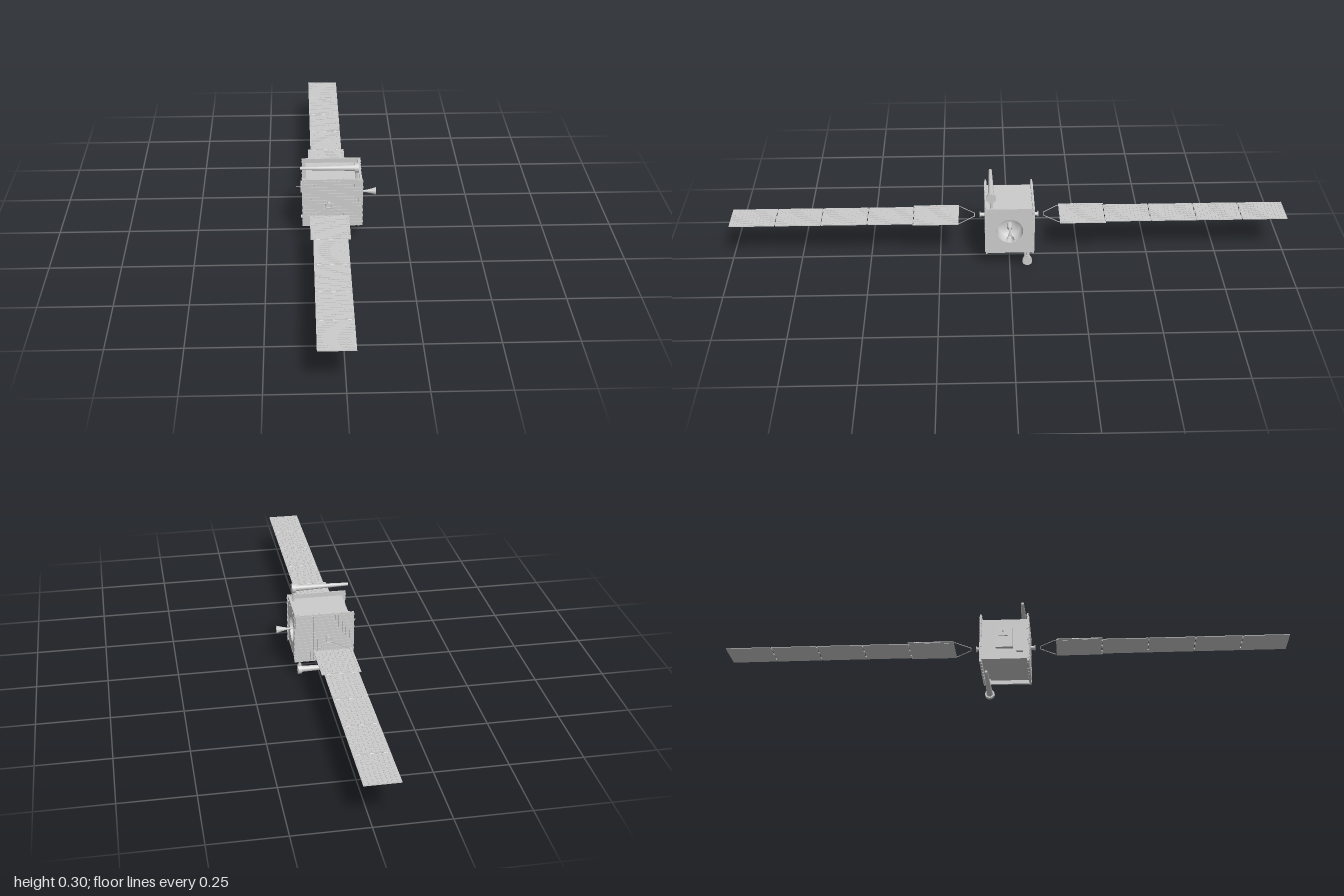
import * as THREE from 'three';
import { mergeGeometries } from 'three/addons/utils/BufferGeometryUtils.js';

const CY = 0.152, HUB_X = -0.029;
const grey = new THREE.MeshStandardMaterial({ color: 0xcccccc, side: THREE.DoubleSide });

function add(parent, name, geometry) {
  const mesh = new THREE.Mesh(geometry, grey);
  mesh.name = name;
  parent.add(mesh);
  return mesh;
}

// Box given by its limits on each axis
function span(x0, x1, y0, y1, z0, z1) {
  return new THREE.BoxGeometry(x1 - x0, y1 - y0, z1 - z0)
    .translate((x0 + x1) / 2, (y0 + y1) / 2, (z0 + z1) / 2);
}

// Box whose z limits are mirrored by s = 1 or -1
const spanZ = (s, x0, x1, y0, y1, z0, z1) =>
  span(x0, x1, y0, y1, Math.min(s * z0, s * z1), Math.max(s * z0, s * z1));

// Surface turned around the x axis from [x, radius] pairs
function latheX(points, x, y, z, sides = 24) {
  return new THREE.LatheGeometry(points.map(([px, r]) => new THREE.Vector2(r, px)), sides)
    .rotateZ(-Math.PI / 2).translate(x, y, z);
}

// Rows of tiles in the u, v plane with narrow gaps
function tiles(u0, u1, nu, v0, v1, nv, gap, makeTile) {
  const list = [], du = (u1 - u0) / nu, dv = (v1 - v0) / nv;
  for (let i = 0; i < nu; i++)
    for (let j = 0; j < nv; j++)
      list.push(makeTile(u0 + i * du + gap, u0 + (i + 1) * du - gap, v0 + j * dv + gap, v0 + (j + 1) * dv - gap));
  return mergeGeometries(list);
}

function buildBody() {
  const body = new THREE.Group();
  body.name = 'body';

  // Recessed core between the large side panels
  add(body, 'topDeck', span(-0.105, 0.08, 0.222, 0.228, -0.08, 0.08));
  add(body, 'bottomDeck', span(-0.105, 0.08, 0.076, 0.082, -0.08, 0.08));
  add(body, 'rearWall', span(-0.108, -0.102, 0.076, 0.228, -0.08, 0.08));

  for (const s of [1, -1]) {
    add(body, 'sidePanel', spanZ(s, -0.122, 0.091, 0.06, 0.244, 0.08, 0.086));
    add(body, 'sideTiles', tiles(-0.117, 0.087, 16, 0.065, 0.239, 14, 0.0007,
      (x0, x1, y0, y1) => spanZ(s, x0, x1, y0, y1, 0.086, 0.088)));
    // Small clips along the panel edges
    const clips = [];
    for (let i = 0; i < 8; i++) {
      const x = -0.108 + i * 0.026, y = 0.072 + i * 0.0225;
      for (const cy of [0.0595, 0.2445]) clips.push(spanZ(s, x, x + 0.006, cy - 0.001, cy + 0.001, 0.079, 0.084));
      for (const cx of [-0.1225, 0.0915]) clips.push(spanZ(s, cx - 0.001, cx + 0.001, y, y + 0.006, 0.079, 0.084));
    }
    add(body, 'edgeClips', mergeGeometries(clips));
  }

  // End plate with a round opening
  const plate = new THREE.Shape();
  plate.moveTo(-0.08, -0.09).lineTo(0.08, -0.09).lineTo(0.08, 0.09).lineTo(-0.08, 0.09).closePath();
  plate.holes.push(new THREE.Path().absarc(0, 0, 0.047, 0, Math.PI * 2, true));
  add(body, 'enginePlate', new THREE.ExtrudeGeometry(plate, { depth: 0.008, bevelEnabled: false, curveSegments: 24 })
    .rotateY(Math.PI / 2).translate(0.08, CY, 0));
  const bolts = [];
  for (const y of [0.075, 0.229])
    for (const z of [-0.065, -0.03, 0.03, 0.065])
      bolts.push(new THREE.CylinderGeometry(0.003, 0.003, 0.003, 8).rotateZ(Math.PI / 2).translate(0.089, y, z));
  add(body, 'plateBolts', mergeGeometries(bolts));

  // Engine well and main nozzle
  add(body, 'engineWell', latheX([[0.088, 0.047], [0.045, 0.042], [0.04, 0.012], [0.04, 0]], 0, CY, 0, 32));
  add(body, 'engineNozzle', latheX([[0.04, 0.009], [0.065, 0.009], [0.07, 0.004], [0.098, 0.003],
    [0.11, 0.0055], [0.126, 0.009], [0.142, 0.014]], 0, CY, 0));

  // Instruments on the opposite end
  const kit = new THREE.Group();
  kit.name = 'instruments';
  add(kit, 'instrumentBox', span(-0.123, -0.108, 0.115, 0.19, -0.03, 0.03));
  add(kit, 'sensorBox', span(-0.128, -0.12, 0.157, 0.187, -0.02, 0.012));
  add(kit, 'sideUnit', span(-0.12, -0.108, 0.1, 0.15, 0.042, 0.066));
  add(kit, 'sensorPin', new THREE.CylinderGeometry(0.0012, 0.002, 0.016, 8)
    .rotateZ(Math.PI / 2).translate(-0.136, 0.171, -0.004));
  body.add(kit);
  return body;
}

// Tapered boom lying along x, on a short stem from the deck
function buildBoom(up) {
  const boom = new THREE.Group();
  boom.name = up > 0 ? 'topBoom' : 'bottomBoom';
  const y = up > 0 ? 0.279 : 0.018, z = up > 0 ? 0.065 : -0.063;
  add(boom, 'boomArm', latheX([[-0.128, 0], [-0.128, 0.0055], [-0.065, 0.0075], [0.063, 0.0112]], 0, y, z));
  add(boom, 'boomCap', new THREE.CylinderGeometry(0.0175, 0.0165, 0.014, 24).rotateZ(-Math.PI / 2).translate(0.07, y, z));
  const deck = CY + up * 0.074, end = y - up * 0.012;
  add(boom, 'boomStem', new THREE.CylinderGeometry(0.004, 0.004, Math.abs(end - deck), 12).translate(0.07, (deck + end) / 2, z));
  add(boom, 'stemCollar', new THREE.CylinderGeometry(0.0065, 0.0065, 0.005, 12).translate(0.07, y - up * 0.0185, z));
  return boom;
}

function buildWing(s) {
  const wing = new THREE.Group();
  wing.name = s > 0 ? 'frontWing' : 'backWing';

  // Rotating hub
  add(wing, 'hub', new THREE.CylinderGeometry(0.007, 0.007, 0.02, 16).rotateX(Math.PI / 2).translate(HUB_X, CY, s * 0.096));
  add(wing, 'hubRing', new THREE.TorusGeometry(0.009, 0.0018, 8, 24).translate(HUB_X, CY, s * 0.104));

  // Thin yoke from hub to first panel
  const yoke = new THREE.CurvePath();
  const pts = [[-0.087, 0.184], [-0.087, 0.176], [-0.04, 0.124], [-0.018, 0.124], [0.029, 0.176], [0.029, 0.184]]
    .map(([x, z]) => new THREE.Vector3(x, CY, s * z));
  for (let i = 1; i < pts.length; i++) yoke.add(new THREE.LineCurve3(pts[i - 1], pts[i]));
  add(wing, 'yoke', new THREE.TubeGeometry(yoke, 48, 0.0014, 6));

  // Five hinged panels, tiled on the upper face
  const pitch = 0.164;
  for (let i = 0; i < 5; i++) {
    const z0 = 0.181 + i * pitch, z1 = z0 + pitch - 0.003;
    add(wing, 'solarPanel', spanZ(s, -0.088, 0.03, CY - 0.0015, CY + 0.0005, z0, z1));
    add(wing, 'solarTiles', tiles(-0.086, 0.028, 8, z0 + 0.002, z1 - 0.002, 12, 0.0006,
      (x0, x1, a, b) => spanZ(s, x0, x1, CY + 0.0005, CY + 0.0015, a, b)));
    if (i > 0)
      for (const x of [-0.072, HUB_X, 0.014])
        add(wing, 'hinge', new THREE.CylinderGeometry(0.003, 0.003, 0.014, 8)
          .rotateZ(Math.PI / 2).translate(x, CY - 0.0005, s * (z0 - 0.0015)));
  }

  // Edge flaps beside the first panel
  for (const [x0, x1] of [[-0.097, -0.088], [0.03, 0.039]]) {
    add(wing, 'edgeFlap', spanZ(s, x0, x1, CY - 0.001, CY + 0.001, 0.181, 0.345));
    add(wing, 'flapTiles', tiles(x0, x1, 1, 0.184, 0.342, 12, 0.0008,
      (a, b, c, d) => spanZ(s, a, b, CY + 0.001, CY + 0.002, c, d)));
  }
  return wing;
}

export function createModel() {
  const model = new THREE.Group();
  model.name = 'satellite';
  model.add(buildBody(), buildBoom(1), buildBoom(-1), buildWing(1), buildWing(-1));
  return model;
}
